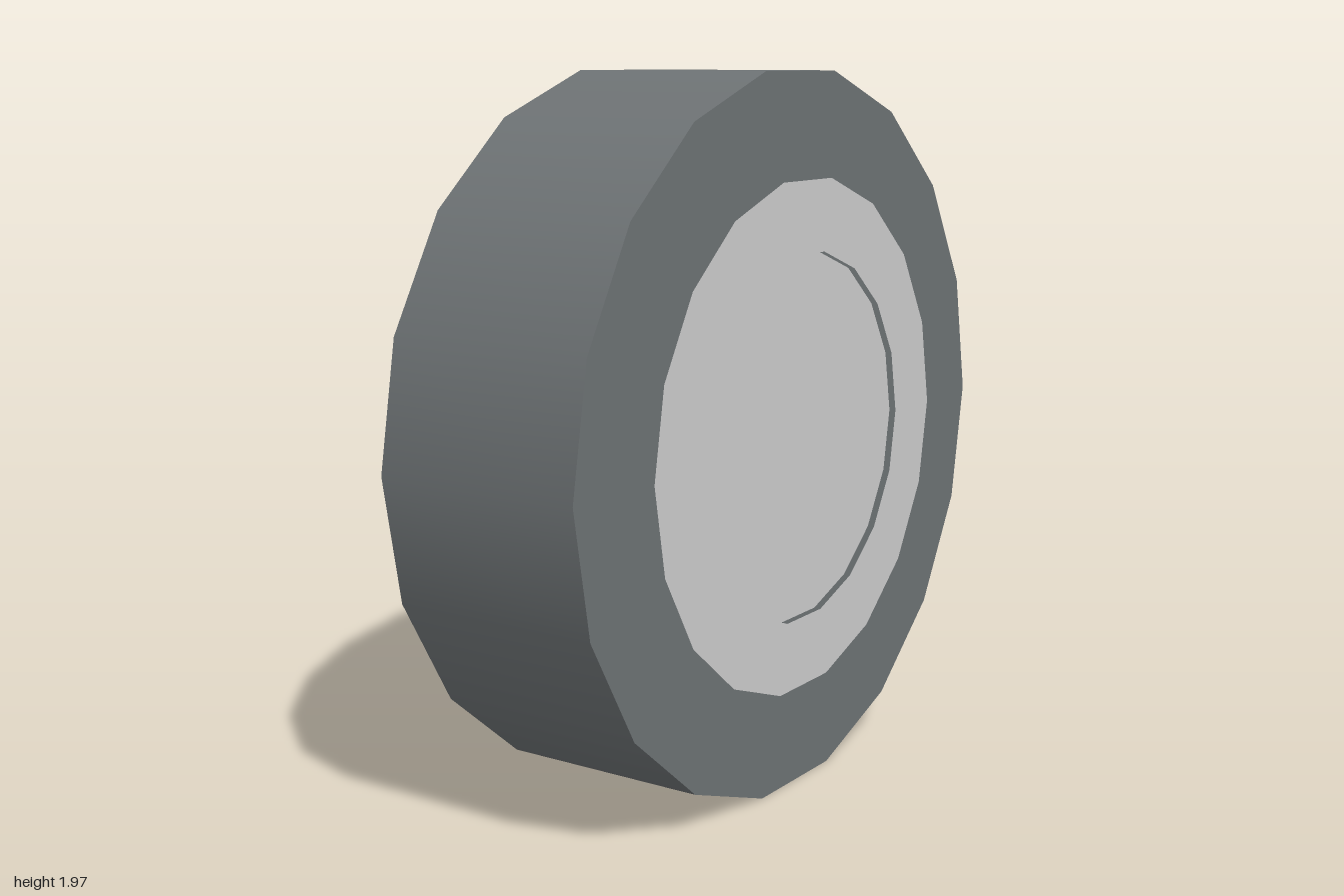
import * as THREE from 'three';

const SIDES = 18;
const CENTER_Y = Math.cos(Math.PI / SIDES); // flat facet rests on the ground

export function createModel() {
  const wheel = new THREE.Group();
  wheel.name = 'wheel';

  const rubber = new THREE.MeshStandardMaterial({ color: 0x6d7274 });
  const metal = new THREE.MeshStandardMaterial({ color: 0xcccccc });

  const add = (name, geometry, material) => {
    const mesh = new THREE.Mesh(geometry, material);
    mesh.name = name;
    mesh.position.y = CENTER_Y;
    wheel.add(mesh);
  };

  // Cylinder lying along x, spanning x0 to x1
  const disc = (radius, x0, x1, open = false) =>
    new THREE.CylinderGeometry(radius, radius, x1 - x0, SIDES, 1, open)
      .rotateZ(-Math.PI / 2)
      .translate((x0 + x1) / 2, 0, 0);

  // Flat face looking outward along +x
  const face = (geometry, x) => geometry.rotateY(Math.PI / 2).translate(x, 0, 0);

  // Solid tyre with a flat inner side
  add('tyre', disc(1, -0.312, 0.287), rubber);

  // Slightly raised hub, sunk below the rim
  add('hubEdge', disc(0.51, 0.287, 0.292, true), rubber);
  add('hubCap', face(new THREE.CircleGeometry(0.51, SIDES), 0.292), metal);

  // Thin single-sided rim plate standing just off the tyre
  add('rim', face(new THREE.RingGeometry(0.51, 0.71, SIDES), 0.312), metal);

  return wheel;
}
